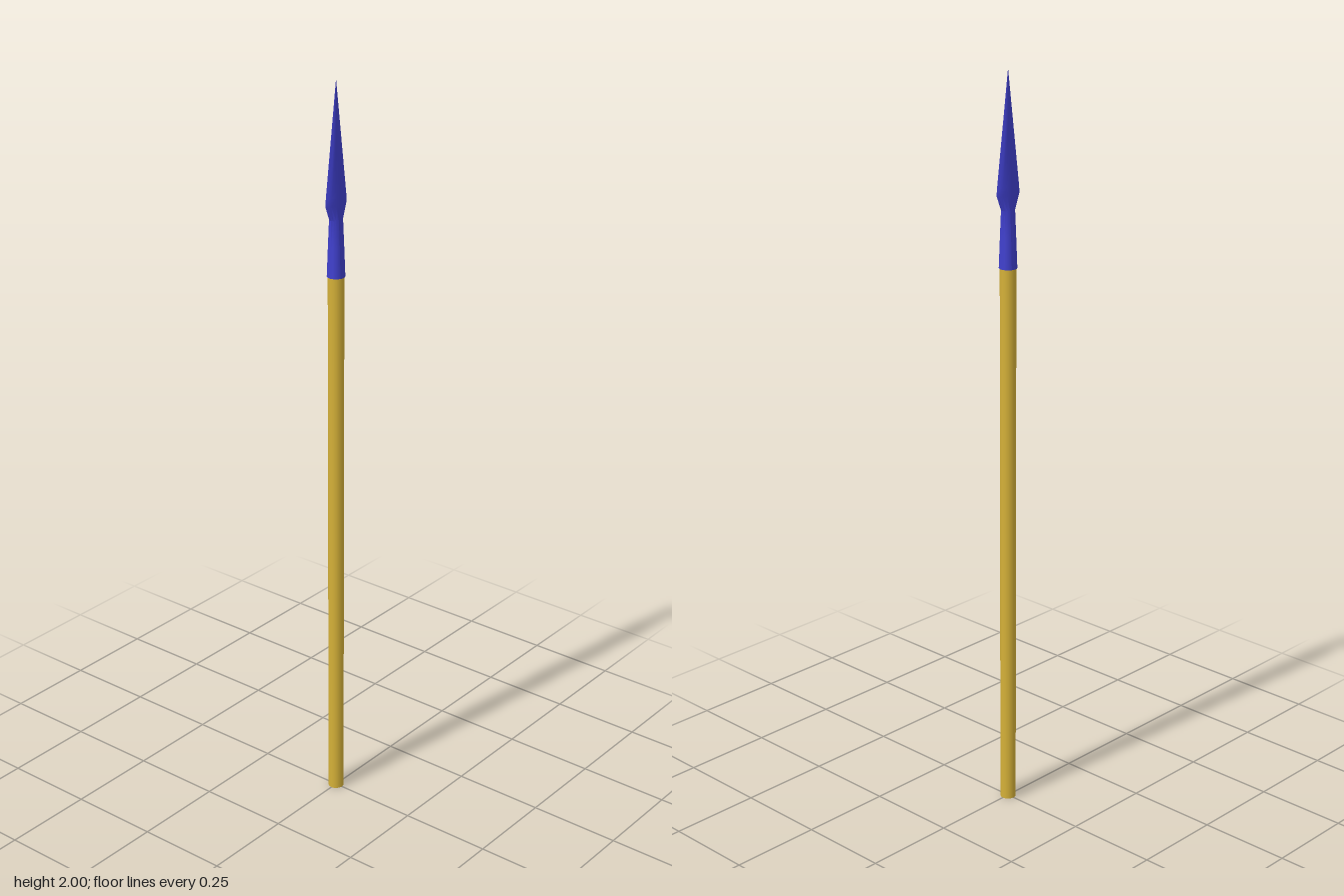
import * as THREE from 'three';
import { toCreasedNormals } from 'three/addons/utils/BufferGeometryUtils.js';

const SIDES = 16;

// Loft of closed rings: [y, half width x, half width z, pinch], pinch > 1 sharpens the z edges
function loft(sections) {
  const pos = [], index = [];
  for (const [y, hx, hz, pinch] of sections) {
    for (let i = 0; i < SIDES; i++) {
      const a = (i / SIDES) * Math.PI * 2, s = Math.sin(a);
      pos.push(hx * Math.sign(s) * Math.abs(s) ** pinch, y, hz * Math.cos(a));
    }
  }
  for (let r = 0; r < sections.length - 1; r++) {
    for (let i = 0; i < SIDES; i++) {
      const j = (i + 1) % SIDES;
      const a = r * SIDES + i, b = r * SIDES + j, c = a + SIDES, d = b + SIDES;
      index.push(a, b, d, a, d, c);
    }
  }
  // Flat cap under the first ring
  for (let i = 1; i < SIDES - 1; i++) index.push(0, i + 1, i);
  const geo = new THREE.BufferGeometry();
  geo.setAttribute('position', new THREE.Float32BufferAttribute(pos, 3));
  geo.setIndex(index);
  return toCreasedNormals(geo, 0.5);
}

export function createModel() {
  const group = new THREE.Group();
  group.name = 'spear';
  const wood = new THREE.MeshStandardMaterial({ color: 0xd4b038 });
  const metal = new THREE.MeshStandardMaterial({ color: 0x3f3fcc });

  // Round shaft
  const shaft = new THREE.Mesh(new THREE.CylinderGeometry(0.021, 0.021, 1.51, SIDES), wood);
  shaft.position.y = 0.755;
  shaft.name = 'shaft';
  group.add(shaft);

  // Spearhead: round socket, flared shoulders, flat tapering blade
  const head = new THREE.Mesh(loft([
    [1.5, 0.0235, 0.0235, 1],
    [1.58, 0.020, 0.021, 1],
    [1.65, 0.0165, 0.0195, 1.1],
    [1.69, 0.0145, 0.041, 1.5],
    [1.71, 0.0138, 0.039, 1.5],
    [1.85, 0.0072, 0.0205, 1.5],
    [2, 0.0002, 0.0005, 1.5],
  ]), metal);
  head.name = 'spearhead';
  group.add(head);
  return group;
}
